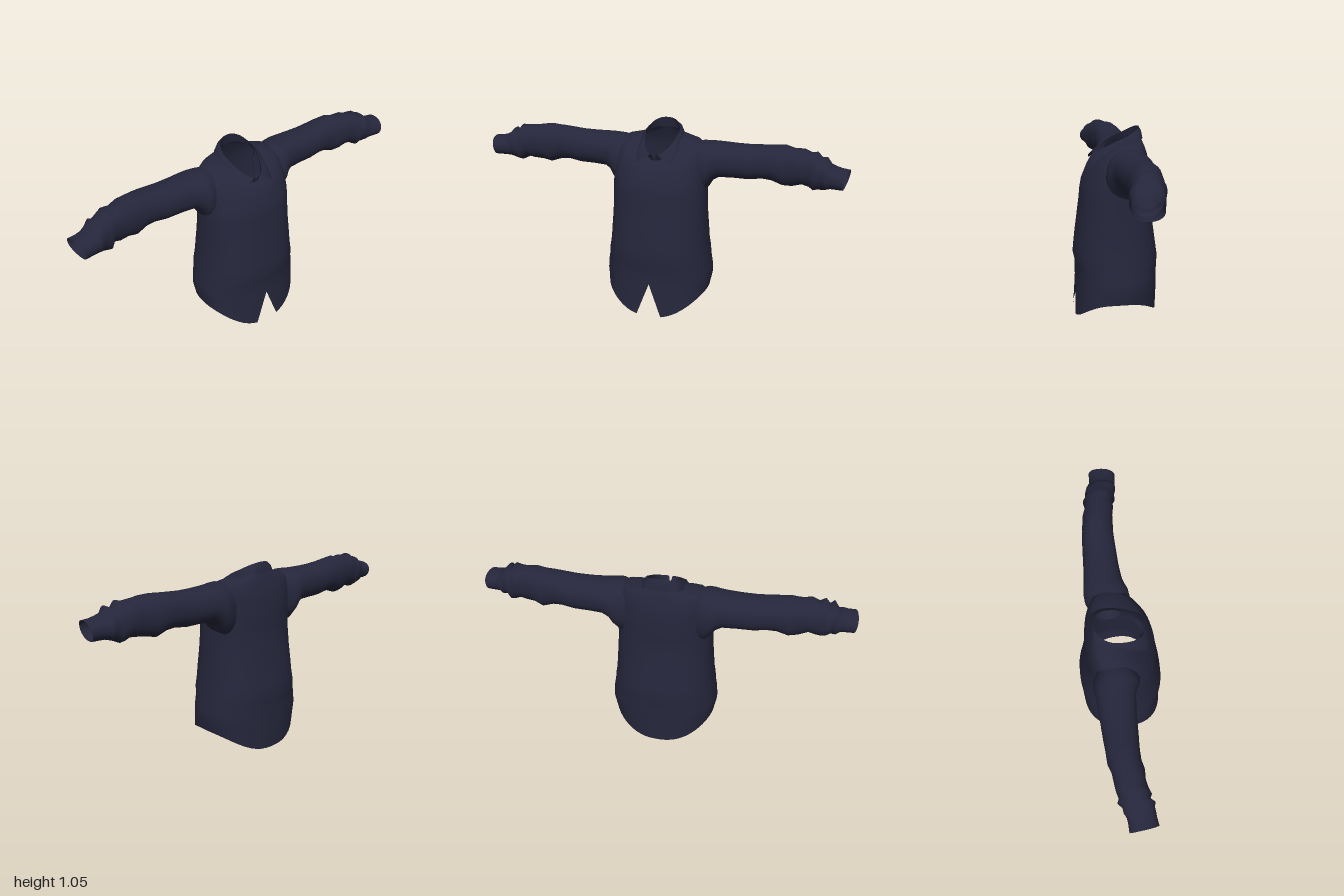
import * as THREE from 'three';
import { mergeVertices } from 'three/addons/utils/BufferGeometryUtils.js';

// Smooth surface through rows of points (each row has the same number of points)
function loft(rows) {
  const n = rows[0].length, index = [];
  for (let i = 0; i < rows.length - 1; i++) {
    for (let j = 0; j < n - 1; j++) {
      const a = i * n + j, b = a + 1, c = a + n, d = c + 1;
      index.push(a, c, b, b, c, d);
    }
  }
  let geo = new THREE.BufferGeometry();
  geo.setAttribute('position', new THREE.Float32BufferAttribute(rows.flat(2), 3));
  geo.setIndex(index);
  geo = mergeVertices(geo, 1e-4);
  geo.computeVertexNormals();
  return geo;
}

const power = (v, e) => Math.sign(v) * Math.pow(Math.abs(v), e);

// Ring around the body, starting and ending at the front with an optional gap.
// w: half width; z and y each have a front, side and back value.
function ring({ w, z, y, gap = 0, e = 0.85, p = 2.5, egg = 0 }, n = 56) {
  const pts = [];
  for (let j = 0; j <= n; j++) {
    const t = Math.PI / 2 + gap + (j / n) * (Math.PI * 2 - gap * 2);
    const s = Math.sin(t), c = Math.cos(t), end = s > 0 ? 0 : 2;
    pts.push([
      w * power(c, e) * (1 - egg * Math.max(0, s)),
      y[1] + (y[end] - y[1]) * Math.pow(Math.abs(s), p),
      z[1] + (z[end] - z[1]) * Math.pow(Math.abs(s), e),
    ]);
  }
  return pts;
}

export function createModel() {
  const group = new THREE.Group();
  const navy = new THREE.MeshStandardMaterial({ color: 0x25263b, side: THREE.DoubleSide });
  navy.name = 'navy cloth';
  const add = (name, geo) => {
    const mesh = new THREE.Mesh(geo, navy);
    mesh.name = name;
    group.add(mesh);
  };

  // Body: curved hem with a front notch, rising to a sloping neckline
  const neck = { w: 0.1, z: [0.105, -0.03, -0.14], y: [0.87, 0.968, 0.99], p: 1.2, egg: 0.2 };
  const level = (y, w, front, back) => ({ w, z: [front, 0, back], y: [y, y, y] });
  add('body', loft([
    { w: 0.288, z: [0.235, 0.02, -0.225], y: [-0.007, 0.122, 0.012], gap: 0.19 },
    level(0.19, 0.3, 0.222, -0.228),
    level(0.24, 0.297, 0.223, -0.228),
    level(0.295, 0.287, 0.224, -0.228),
    level(0.335, 0.284, 0.233, -0.233),
    level(0.39, 0.275, 0.228, -0.225),
    level(0.46, 0.27, 0.22, -0.215),
    level(0.55, 0.263, 0.208, -0.202),
    level(0.64, 0.26, 0.196, -0.19),
    level(0.7, 0.26, 0.19, -0.188),
    { w: 0.258, z: [0.181, -0.01, -0.187], y: [0.75, 0.77, 0.78] },
    { w: 0.25, z: [0.153, -0.03, -0.18], y: [0.815, 0.86, 0.86] },
    { w: 0.235, z: [0.135, -0.045, -0.168], y: [0.84, 0.925, 0.91], p: 2 },
    { w: 0.205, z: [0.12, -0.05, -0.155], y: [0.855, 0.955, 0.95], p: 1.8 },
    { w: 0.15, z: [0.112, -0.04, -0.147], y: [0.863, 0.965, 0.972], p: 1.5 },
    neck,
  ].map((r) => ring(r))));

  // Sleeves: x, bottom, top, back, front
  const stations = [
    [0.18, 0.66, 0.95, -0.14, 0.05], [0.23, 0.67, 0.958, -0.162, 0.078],
    [0.262, 0.705, 0.957, -0.165, 0.072], [0.285, 0.745, 0.956, -0.162, 0.058],
    [0.32, 0.767, 0.955, -0.157, 0.046], [0.4, 0.77, 0.953, -0.151, 0.038],
    [0.48, 0.77, 0.954, -0.147, 0.035], [0.55, 0.782, 0.96, -0.143, 0.032],
    [0.6, 0.778, 0.966, -0.138, 0.03], [0.66, 0.755, 0.97, -0.134, 0.033],
    [0.71, 0.766, 0.966, -0.122, 0.04], [0.76, 0.776, 0.962, -0.11, 0.044],
    [0.8, 0.776, 0.954, -0.112, 0.045], [0.83, 0.758, 0.957, -0.098, 0.062],
    [0.855, 0.764, 0.928, -0.104, 0.056], [0.88, 0.774, 0.942, -0.088, 0.072],
    [0.905, 0.777, 0.908, -0.085, 0.066], [0.93, 0.785, 0.9, -0.07, 0.072],
    [0.96, 0.786, 0.892, -0.067, 0.074], [1.0, 0.787, 0.888, -0.066, 0.08],
  ];
  for (const side of [1, -1]) {
    const rows = stations.map(([x, bottom, top, back, front]) => {
      const pts = [], n = 32;
      const lean = THREE.MathUtils.smoothstep(x, 0.75, 1) * 0.016;
      const fold = THREE.MathUtils.smoothstep(x, 0.5, 0.8) * (x < 0.92 ? 0.004 : 0);
      for (let j = 0; j <= n; j++) {
        const t = -side * (j / n) * Math.PI * 2, c = Math.cos(t), s = Math.sin(t);
        const crease = 1 + (fold / 0.08) * Math.sin(3 * t * side + x * 70);
        pts.push([
          side * (x - lean * (1 - c * 0.6 + s * 0.6 - 0.15)),
          (top + bottom) / 2 + ((top - bottom) / 2) * power(c, 0.9) * crease,
          (front + back) / 2 + ((front - back) / 2) * power(s, 0.9) * crease,
        ]);
      }
      return pts;
    });
    add(side > 0 ? 'leftSleeve' : 'rightSleeve', loft(rows));
  }

  // Collar: inner stand and the folded outer leaf with two front points
  const fold = { w: 0.09, z: [0.125, -0.03, -0.132], y: [0.908, 0.99, 1.045], gap: 0.22, e: 0.9, p: 1, egg: 0.15 };
  add('collarStand', loft([ring(neck), ring({ ...fold, gap: 0.1 })]));
  add('collarLeaf', loft([
    ring({ w: 0.113, z: [0.175, -0.03, -0.148], y: [0.81, 0.953, 0.99], gap: 0.85, e: 0.6, p: 1 }),
    ring({ w: 0.106, z: [0.152, -0.03, -0.143], y: [0.872, 0.978, 1.025], gap: 0.48, e: 0.75, p: 1 }),
    ring(fold),
  ]));

  return group;
}
